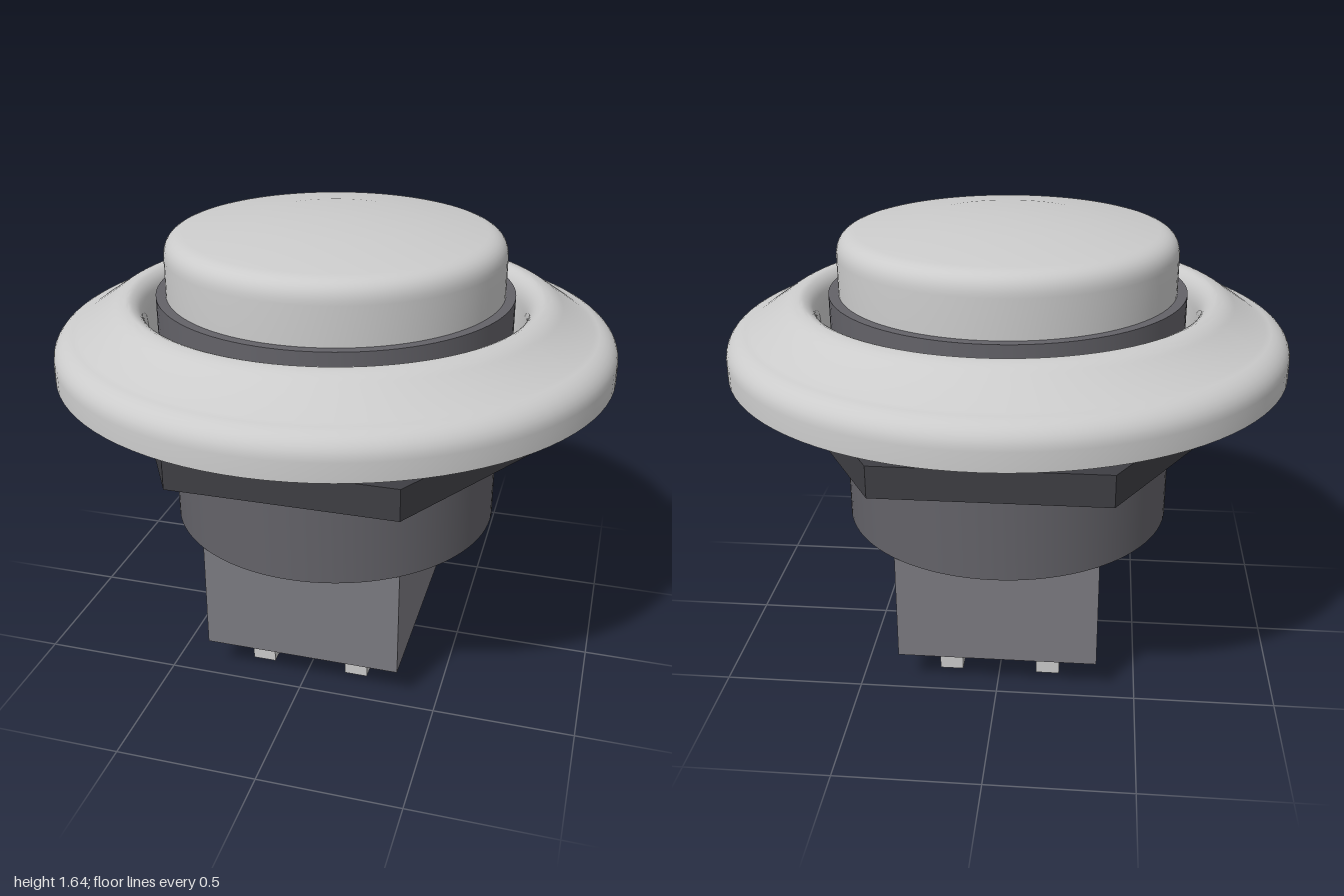
import * as THREE from 'three';
import { toCreasedNormals } from 'three/addons/utils/BufferGeometryUtils.js';

const material = (color) => new THREE.MeshStandardMaterial({ color });
const light = material(0xcccccc);
const housingGrey = material(0x636268);
const blockGrey = material(0x7b7a80);
const nutGrey = material(0x3e3e43);

// Turn a path of (radius, height) around y, keeping sharp edges crisp
function turned(path) {
  const points = path.getPoints(8);
  return toCreasedNormals(new THREE.LatheGeometry(points, 96), 0.5);
}

export function createModel() {
  const group = new THREE.Group();
  const add = (name, geometry, mat, x = 0, y = 0, z = 0) => {
    const mesh = new THREE.Mesh(geometry, mat);
    mesh.name = name;
    mesh.position.set(x, y, z);
    group.add(mesh);
    return mesh;
  };

  // Push cap: straight side, rounded rim, shallow dome
  const cap = new THREE.Path();
  cap.moveTo(0, 1.37);
  cap.lineTo(0.6, 1.37);
  cap.lineTo(0.6, 1.52);
  cap.quadraticCurveTo(0.6, 1.59, 0.53, 1.6);
  cap.lineTo(0.29, 1.632);
  cap.lineTo(0, 1.645);
  add('pushCap', turned(cap), light);

  // Bezel: closed ring with a rounded outer lip and a sloping inner wall
  const bezel = new THREE.Path();
  bezel.moveTo(0.66, 1.125);
  bezel.lineTo(1, 1.125);
  bezel.lineTo(1, 1.19);
  bezel.bezierCurveTo(1, 1.235, 0.965, 1.27, 0.91, 1.275);
  bezel.lineTo(0.8, 1.35);
  bezel.quadraticCurveTo(0.765, 1.375, 0.73, 1.375);
  bezel.quadraticCurveTo(0.68, 1.36, 0.675, 1.29);
  bezel.lineTo(0.66, 1.125);
  add('bezel', turned(bezel), light);

  // Barrel with a slightly wider collar under the cap
  const barrel = new THREE.Path();
  barrel.moveTo(0, 0.53);
  barrel.lineTo(0.6, 0.53);
  barrel.lineTo(0.6, 1.125);
  barrel.lineTo(0.635, 1.125);
  barrel.lineTo(0.635, 1.385);
  barrel.lineTo(0, 1.385);
  add('barrel', turned(barrel), housingGrey);

  // Hexagonal nut with corners on the x axis
  const hex = new THREE.Shape();
  for (let i = 0; i < 6; i++) {
    const a = (i * Math.PI) / 3;
    hex[i ? 'lineTo' : 'moveTo'](0.8 * Math.cos(a), 0.8 * Math.sin(a));
  }
  hex.holes.push(new THREE.Path().absarc(0, 0, 0.595, 0, Math.PI * 2, true));
  const nut = new THREE.ExtrudeGeometry(hex, { depth: 0.115, bevelEnabled: false, curveSegments: 48 });
  nut.rotateX(-Math.PI / 2);
  add('nut', nut, nutGrey, 0, 0.87, 0);

  // Switch block and its four terminals
  add('switchBlock', new THREE.BoxGeometry(0.72, 0.405, 0.96), blockGrey, 0, 0.3275, 0);
  for (const sx of [-1, 1]) {
    for (const sz of [-1, 1]) {
      add('terminal', new THREE.BoxGeometry(0.085, 0.125, 0.26), light, sx * 0.18, 0.0625, sz * 0.24);
    }
  }
  return group;
}
